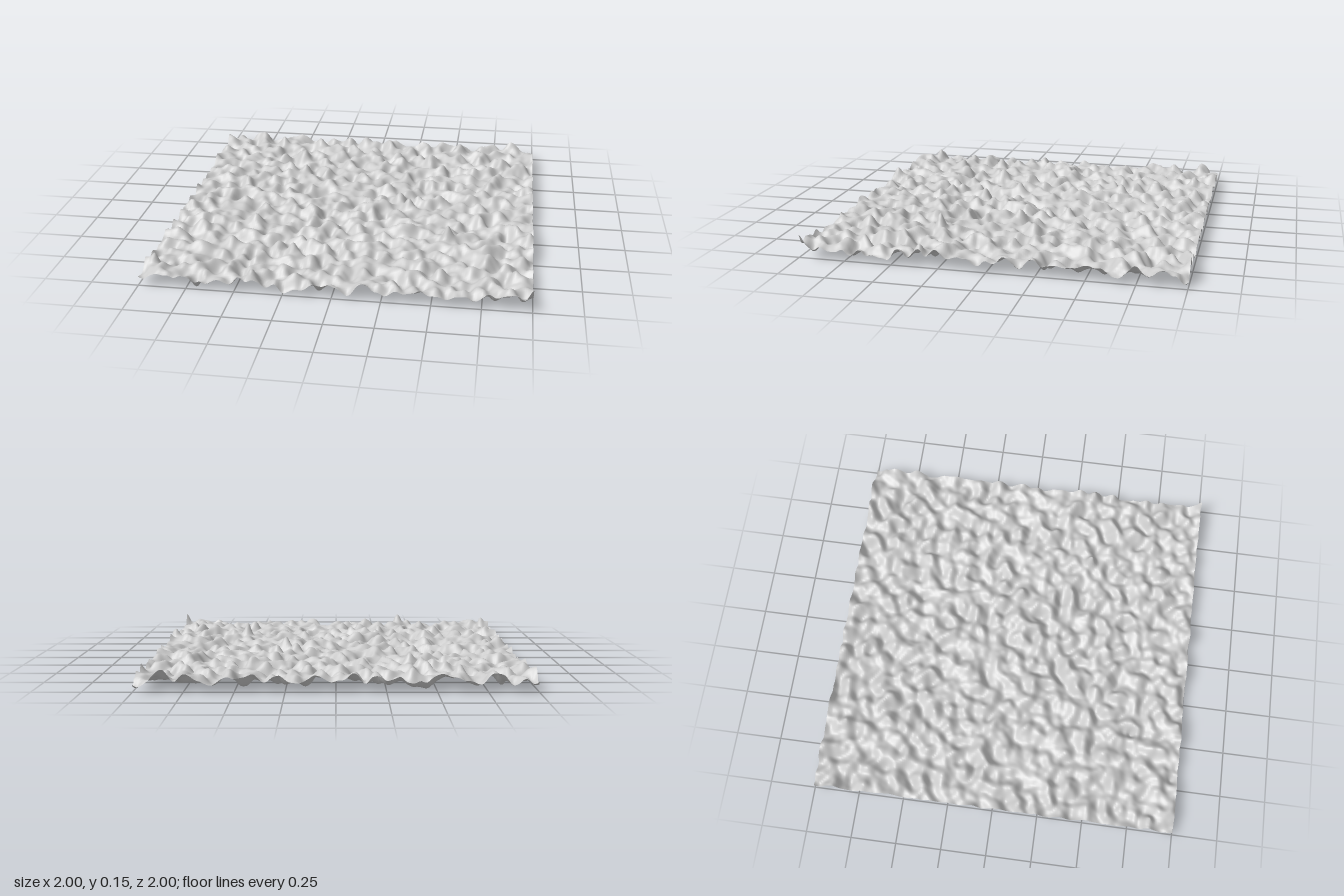
import * as THREE from 'three';

const SIZE = 2, SEGMENTS = 200, MEAN = 0.065, SPREAD = 0.0165, TOP = 0.155;
const { lerp, clamp } = THREE.MathUtils;

// Repeatable gradient direction for each lattice corner
function gradientAngle(ix, iz, seed) {
  let h = Math.imul(ix + 101, 374761393) ^ Math.imul(iz + 211, 668265263) ^ Math.imul(seed, 1442695041);
  h = Math.imul(h ^ (h >>> 13), 1274126177);
  h = Math.imul(h ^ (h >>> 16), 2246822519);
  return ((h ^ (h >>> 15)) >>> 0) / 4294967296 * Math.PI * 2;
}

// Smooth 2D gradient noise
function noise(x, z, seed) {
  const ix = Math.floor(x), iz = Math.floor(z), fx = x - ix, fz = z - iz;
  const fade = t => t * t * t * (t * (t * 6 - 15) + 10);
  const corner = (dx, dz) => {
    const a = gradientAngle(ix + dx, iz + dz, seed);
    return Math.cos(a) * (fx - dx) + Math.sin(a) * (fz - dz);
  };
  const u = fade(fx);
  return lerp(lerp(corner(0, 0), corner(1, 0), u), lerp(corner(0, 1), corner(1, 1), u), fade(fz));
}

// Layers turned to different angles, so the bumps follow no direction: scale, angle, strength
const layers = [[12, 0.3, 1], [12.6, 0.85, 1], [13.2, 1.35, 1], [5.5, 0.6, 0.4], [22, 1.1, 0.3]];

function ripple(x, z) {
  return layers.reduce((sum, [scale, angle, strength], i) => {
    const c = Math.cos(angle) * scale, s = Math.sin(angle) * scale;
    return sum + strength * noise(c * x - s * z, s * x + c * z, i + 1);
  }, 0);
}

// Tallest bumps and deepest dips: x, z, height
const extremes = [
  [0.54, 0.38, 0.155], [-0.41, 0.97, 0.13], [0.98, 0.35, 0.125], [1, 1, 0.13], [0.29, 0, 0.128],
  [-0.62, -0.88, 0.125], [-0.95, 0.86, 0.125],
  [-0.7, 0.97, 0.005], [-0.47, 0.72, 0.01], [0.2, -0.58, 0.01],
];

export function createModel() {
  const group = new THREE.Group();
  const geometry = new THREE.PlaneGeometry(SIZE, SIZE, SEGMENTS, SEGMENTS);
  geometry.rotateX(-Math.PI / 2);
  const pos = geometry.attributes.position;

  // Sample the ripples and find their average and spread
  const heights = [];
  for (let i = 0; i < pos.count; i++) heights.push(ripple(pos.getX(i), pos.getZ(i)));
  const mean = heights.reduce((a, b) => a + b, 0) / pos.count;
  const deviation = Math.sqrt(heights.reduce((a, b) => a + (b - mean) ** 2, 0) / pos.count);

  // Raise the sheet into a rough, uneven surface
  for (let i = 0; i < pos.count; i++) {
    let y = MEAN + (heights[i] - mean) / deviation * SPREAD;
    for (const [px, pz, h] of extremes) {
      const d2 = (pos.getX(i) - px) ** 2 + (pos.getZ(i) - pz) ** 2;
      y = lerp(y, h, Math.exp(-d2 / 0.0008));
    }
    pos.setY(i, clamp(y, 0, TOP));
  }
  geometry.computeVertexNormals();

  const material = new THREE.MeshStandardMaterial({ color: 0xcccccc, side: THREE.DoubleSide });
  const ground = new THREE.Mesh(geometry, material);
  ground.name = 'roughGroundSheet';
  group.add(ground);
  return group;
}
